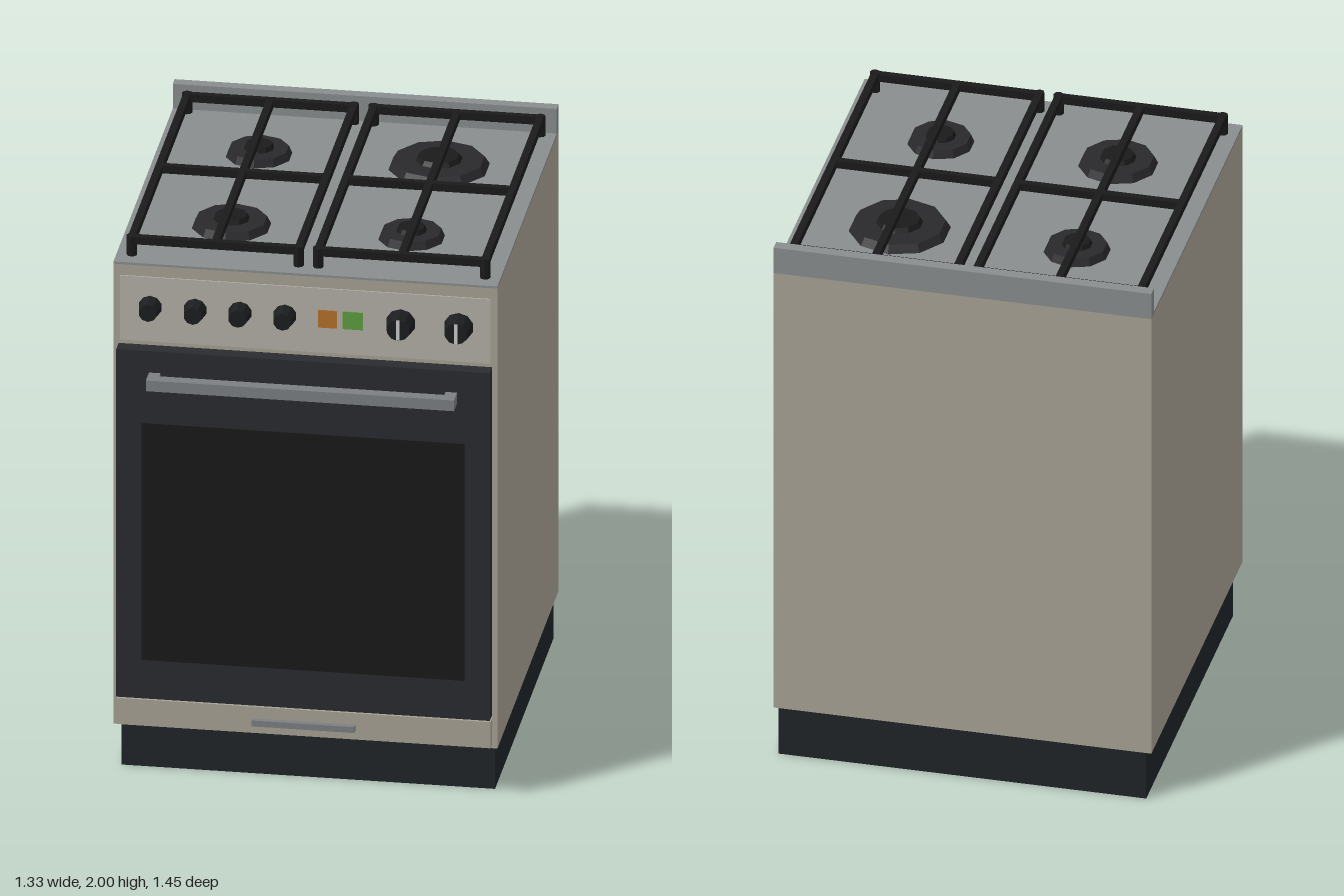
import * as THREE from 'three';

const mat = (color) => new THREE.MeshStandardMaterial({ color, flatShading: true });

export function createModel() {
  const stove = new THREE.Group();
  stove.name = 'stove';
  const enamel = mat(0xa8a295), panel = mat(0xb2afa6), steel = mat(0x898d8d), bar = mat(0x7c7f82);
  const plinthMat = mat(0x1f2427), doorMat = mat(0x2a2b30), glass = mat(0x191919);
  const iron = mat(0x1a1a1b), burnerMat = mat(0x29292c), knobMat = mat(0x1c1d1f);

  // Box given by its lower and upper limits on each axis
  const box = (name, m, [x0, x1], [y0, y1], [z0, z1], parent = stove) => {
    const mesh = new THREE.Mesh(new THREE.BoxGeometry(x1 - x0, y1 - y0, z1 - z0), m);
    mesh.position.set((x0 + x1) / 2, (y0 + y1) / 2, (z0 + z1) / 2);
    mesh.name = name;
    parent.add(mesh);
    return mesh;
  };
  const cylinder = (name, m, rTop, rBottom, h, sides, x, y, z, parent = stove) => {
    const mesh = new THREE.Mesh(new THREE.CylinderGeometry(rTop, rBottom, h, sides), m);
    mesh.position.set(x, y, z);
    mesh.name = name;
    parent.add(mesh);
    return mesh;
  };
  const group = (name) => {
    const g = new THREE.Group();
    g.name = name;
    stove.add(g);
    return g;
  };

  // Hollow plinth, open underneath
  const plinth = group('plinth');
  const py = [0, 0.18];
  box('plinthFront', plinthMat, [-0.645, 0.645], py, [0.53, 0.54], plinth);
  box('plinthBack', plinthMat, [-0.645, 0.645], py, [-0.725, -0.715], plinth);
  box('plinthRight', plinthMat, [-0.645, -0.635], py, [-0.715, 0.53], plinth);
  box('plinthLeft', plinthMat, [0.635, 0.645], py, [-0.715, 0.53], plinth);
  box('plinthCeiling', plinthMat, [-0.635, 0.635], [0.165, 0.18], [-0.715, 0.53], plinth);

  // Cabinet, cooktop and rear upstand
  box('body', enamel, [-0.663, 0.663], [0.18, 1.9], [-0.725, 0.603]);
  box('cooktop', steel, [-0.663, 0.663], [1.9, 1.908], [-0.725, 0.603]);
  box('rearUpstand', steel, [-0.663, 0.663], [1.908, 2], [-0.725, -0.685]);
  box('controlPanel', panel, [-0.64, 0.64], [1.62, 1.86], [0.6, 0.608]);

  // Oven door with window and handle
  box('ovenDoor', doorMat, [-0.645, 0.645], [0.305, 1.605], [0.603, 0.655]);
  box('ovenWindow', glass, [-0.557, 0.557], [0.45, 1.335], [0.65, 0.658]);
  box('doorHandle', bar, [-0.532, 0.532], [1.485, 1.525], [0.68, 0.722]);
  for (const s of [-1, 1]) {
    const x = s * 0.512;
    box('handleBracket', bar, [x - 0.02, x + 0.02], [1.485, 1.525], [0.65, 0.69]);
  }

  // Storage drawer
  box('drawer', enamel, [-0.645, 0.645], [0.195, 0.293], [0.6, 0.638]);
  box('drawerHandle', bar, [-0.178, 0.178], [0.228, 0.25], [0.63, 0.658]);

  // Displays
  box('orangeDisplay', mat(0xb5702c), [0.045, 0.11], [1.715, 1.78], [0.603, 0.612]);
  box('greenDisplay', mat(0x5f9c40), [0.13, 0.2], [1.715, 1.78], [0.603, 0.612]);

  // Knobs: four small burner knobs, two large oven knobs with a pointer line
  const knob = (x, r, zEnd) => {
    const k = cylinder('knob', knobMat, r * 0.75, r, zEnd - 0.603, 10, x, 1.75, (zEnd + 0.603) / 2);
    k.rotation.x = Math.PI / 2;
  };
  for (const x of [-0.535, -0.38, -0.225, -0.07]) knob(x, 0.042, 0.665);
  for (const x of [0.33, 0.53]) {
    knob(x, 0.053, 0.67);
    box('knobPointer', mat(0xcccccc), [x - 0.006, x + 0.006], [1.713, 1.787], [0.664, 0.673]);
  }

  // Burners: tapered base and central cap
  for (const [x, z, r] of [[-0.312, -0.35, 0.115], [0.31, -0.35, 0.175], [-0.312, 0.247, 0.137], [0.31, 0.247, 0.115]]) {
    cylinder('burnerBase', burnerMat, r * 0.9, r, 0.028, 10, x, 1.922, z);
    cylinder('burnerCap', iron, r * 0.4, r * 0.46, 0.016, 10, x, 1.944, z);
  }

  // Pan supports: frame, cross bars and corner feet
  const y = [1.952, 1.98], t = 0.0125, zs = [-0.662, 0.535];
  for (const s of [-1, 1]) {
    const g = group(s < 0 ? 'rightPanSupport' : 'leftPanSupport');
    const xs = [s * 0.61, s * 0.322, s * 0.034];
    const lo = Math.min(...xs), hi = Math.max(...xs);
    for (const x of xs) box('supportBar', iron, [x - t, x + t], y, [zs[0] - t, zs[1] + t], g);
    for (const z of [zs[0], -0.063, zs[1]]) box('crossBar', iron, [lo, hi], y, [z - t, z + t], g);
    for (const x of [lo, hi]) for (const z of zs) {
      cylinder('supportFoot', iron, 0.018, 0.018, 0.074, 8, x, 1.944, z, g);
    }
  }
  return stove;
}
